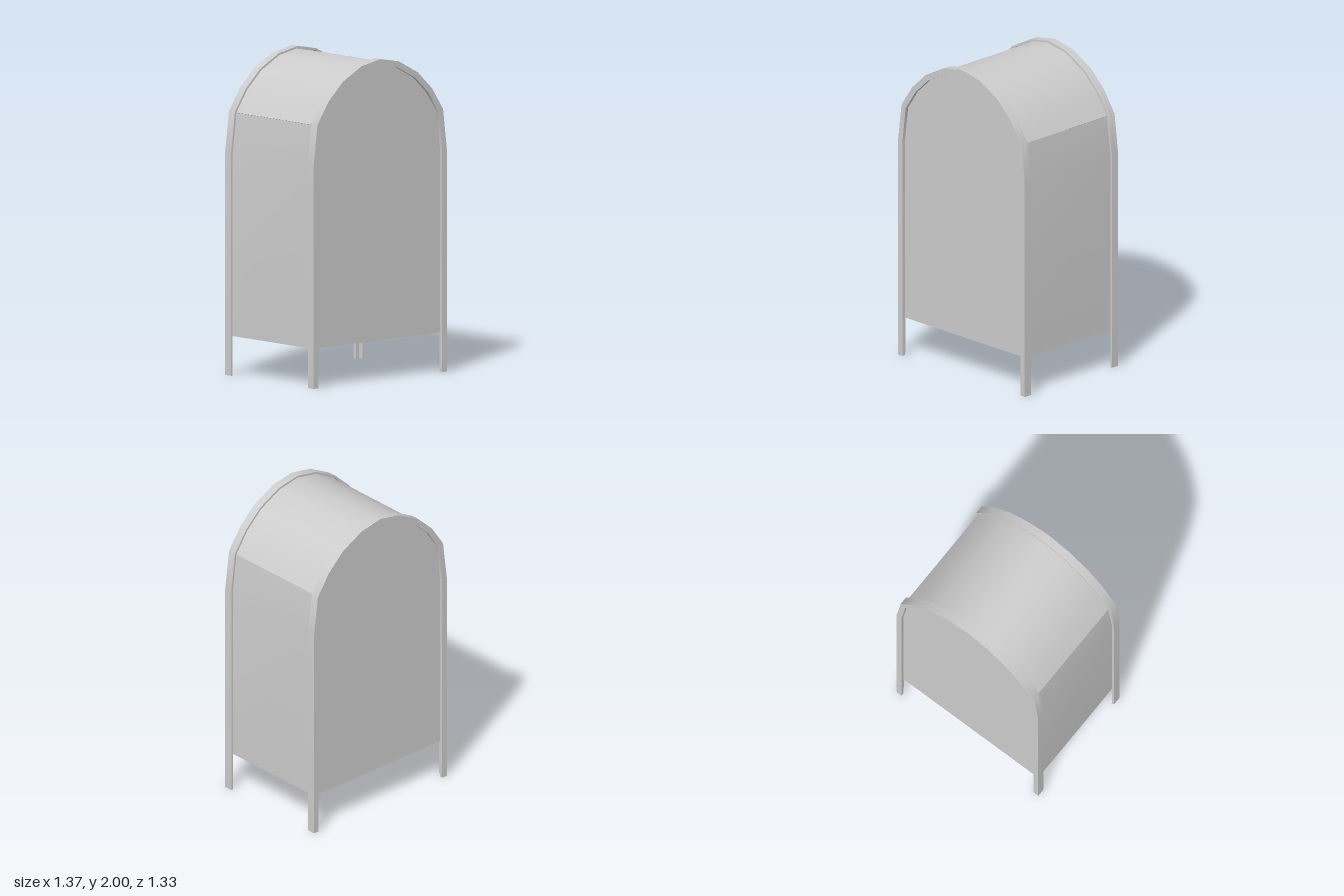
import * as THREE from 'three';
import { toCreasedNormals } from 'three/addons/utils/BufferGeometryUtils.js';

const HALF_DEPTH = 0.4065;
const BODY_BOTTOM = 0.245;
const SPLIT = 1.64; // seam between side walls and roof

// Right half of the arch, from shoulder to crown
const HALF_ARCH = [[0.553, 1.39], [0.522, SPLIT], [0.43, 1.777], [0.312, 1.888], [0.155, 1.971], [0, 2]];

// Open arch outline, right foot over the crown to left foot
function archLine(bottom) {
  const right = [[0.553, bottom], ...HALF_ARCH];
  const left = right.slice(0, -1).reverse().map(([x, y]) => [-x, y]);
  return [...right, ...left].map(([x, y]) => new THREE.Vector2(x, y));
}

// Move a line inwards by d, with mitred corners
function inset(line, d) {
  const normal = (a, b) => new THREE.Vector2(a.y - b.y, b.x - a.x).normalize();
  return line.map((p, i) => {
    const n0 = i > 0 ? normal(line[i - 1], p) : null;
    const n1 = i < line.length - 1 ? normal(p, line[i + 1]) : null;
    const a = n0 || n1, b = n1 || n0;
    const m = a.clone().add(b).normalize();
    return p.clone().addScaledVector(m, d / m.dot(a));
  });
}

// Solid strip following a line, between two insets and two depths
function strip(line, d0, d1, z0, z1) {
  const shape = new THREE.Shape([...inset(line, d0), ...inset(line, d1).reverse()]);
  const geo = new THREE.ExtrudeGeometry(shape, { depth: z1 - z0, bevelEnabled: false });
  geo.translate(0, 0, z0);
  return toCreasedNormals(geo, 0.6);
}

export function createModel() {
  const model = new THREE.Group();
  const box = new THREE.Group();
  box.name = 'collectionBox';
  box.rotation.y = 0.687;
  model.add(box);

  const material = new THREE.MeshStandardMaterial({ color: 0xcccccc });
  const thin = new THREE.MeshStandardMaterial({ color: 0xcccccc, side: THREE.DoubleSide });
  const add = (parent, name, geo, mat = material) => {
    const mesh = new THREE.Mesh(geo, mat);
    mesh.name = name;
    parent.add(mesh);
    return mesh;
  };

  const legLine = archLine(0);
  const bodyLine = archLine(BODY_BOTTOM);
  const panelZ = HALF_DEPTH - 0.022;

  // Angle-iron frames whose ends run down as legs
  for (const end of [1, -1]) {
    const frame = new THREE.Group();
    frame.name = end > 0 ? 'frontFrame' : 'backFrame';
    frame.rotation.y = end > 0 ? 0 : Math.PI;
    add(frame, 'frameFlange', strip(legLine, 0, 0.038, panelZ, HALF_DEPTH));
    add(frame, 'frameRim', strip(legLine, 0, 0.013, HALF_DEPTH - 0.055, panelZ));

    // Arched end panel, set back behind the flange
    const panel = new THREE.ShapeGeometry(new THREE.Shape(inset(bodyLine, 0.018)));
    add(frame, 'endPanel', panel, thin).position.z = panelZ - 0.001;
    box.add(frame);
  }

  // Curved roof sheet
  const roofLine = bodyLine.filter((p) => p.y >= SPLIT);
  roofLine[0].y += 0.004;
  roofLine[roofLine.length - 1].y += 0.004;
  add(box, 'roof', strip(roofLine, 0.018, 0.022, -panelZ, panelZ));

  // Side walls, bent inwards at the shoulder; the bottom is open
  const wallLine = archLine(BODY_BOTTOM).slice(0, 3);
  wallLine[2].y -= 0.004;
  for (const side of [1, -1]) {
    const wall = add(box, side > 0 ? 'leftWall' : 'rightWall',
      strip(wallLine, 0.018, 0.022, -panelZ, panelZ));
    wall.rotation.y = side > 0 ? 0 : Math.PI;
  }
  return model;
}
